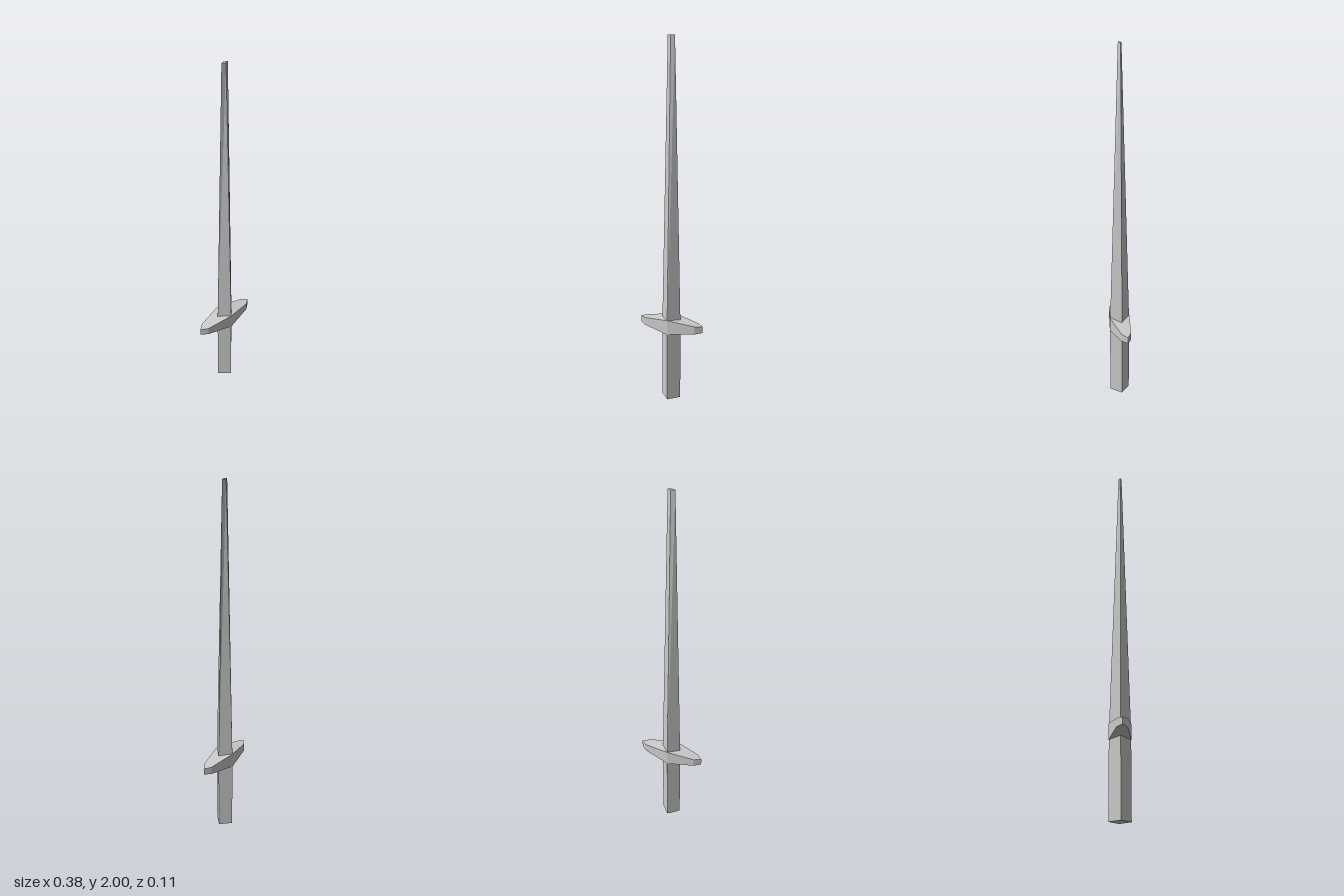
import * as THREE from 'three';

const material = new THREE.MeshStandardMaterial({ color: 0xcccccc, flatShading: true });

// Skins a row of four-cornered rings (counter-clockwise seen from the far end) and caps both ends.
function loft(name, rings) {
  const positions = [];
  const tri = (a, b, c) => {
    const t = new THREE.Triangle(a, b, c);
    if (t.getArea() > 1e-9) positions.push(...a, ...b, ...c);
  };
  const quad = (a, b, c, d) => { tri(a, b, c); tri(a, c, d); };
  for (let i = 0; i < rings.length - 1; i++) {
    for (let j = 0; j < 4; j++) {
      const k = (j + 1) % 4;
      quad(rings[i][j], rings[i][k], rings[i + 1][k], rings[i + 1][j]);
    }
  }
  quad(...[...rings[0]].reverse());
  quad(...rings[rings.length - 1]);
  const geometry = new THREE.BufferGeometry();
  geometry.setAttribute('position', new THREE.Float32BufferAttribute(positions, 3));
  geometry.computeVertexNormals();
  const mesh = new THREE.Mesh(geometry, material);
  mesh.name = name;
  return mesh;
}

const v = (x, y, z) => new THREE.Vector3(x, y, z);

// Diamond cross-section at height y
const diamond = (y, rx, rz) => [v(0, y, rz), v(rx, y, 0), v(0, y, -rz), v(-rx, y, 0)];

// Upright rectangle across the guard at x
const slab = (x, halfHeight, halfDepth) => {
  const mid = 0.443;
  const lo = mid - halfHeight, hi = mid + halfHeight;
  return [v(x, lo, -halfDepth), v(x, hi, -halfDepth), v(x, hi, halfDepth), v(x, lo, halfDepth)];
};

export function createModel() {
  const group = new THREE.Group();
  group.name = 'sword';

  // Straight grip and tapering, blunt-tipped blade
  group.add(loft('handle', [diamond(0, 0.056, 0.056), diamond(0.443, 0.056, 0.056)]));
  group.add(loft('blade', [diamond(0.443, 0.056, 0.056), diamond(2, 0.02, 0.009)]));

  // Guard, thickest in the middle and narrowing to an edge at both ends
  group.add(loft('guard', [
    slab(-0.19, 0.018, 0),
    slab(-0.154, 0.022, 0.027),
    slab(0, 0.042, 0.057),
    slab(0.154, 0.022, 0.027),
    slab(0.19, 0.018, 0),
  ]));

  return group;
}
